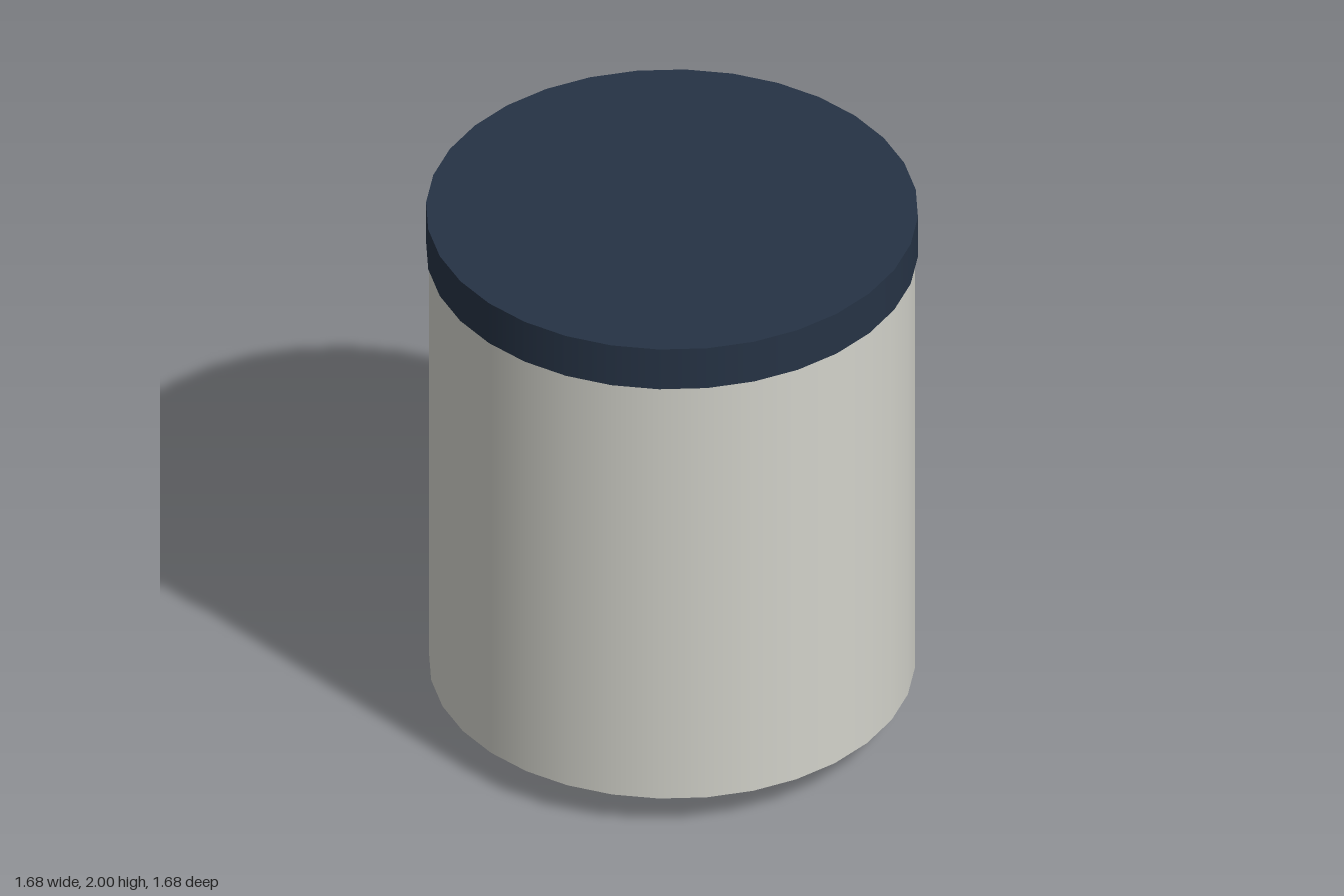
import * as THREE from 'three';

const material = (name, color) => {
  const m = new THREE.MeshStandardMaterial({ color });
  m.name = name;
  return m;
};

export function createModel() {
  const model = new THREE.Group();
  model.name = 'canister';

  const navy = material('navy', 0x263345);
  const paleGrey = material('paleGrey', 0xd2d2ca);
  const slate = material('slate', 0x536164);

  // Adds a closed round part spanning bottom to top
  const addRound = (name, rTop, rBottom, bottom, top, sides, mat) => {
    const geometry = new THREE.CylinderGeometry(rTop, rBottom, top - bottom, sides);
    const mesh = new THREE.Mesh(geometry, mat);
    mesh.name = name;
    mesh.position.y = (bottom + top) / 2;
    model.add(mesh);
  };

  // Flared foot, tall drum and slightly wider lid
  addRound('foot', 0.345, 0.5, 0, 0.132, 12, slate);
  addRound('body', 0.83, 0.83, 0.13, 1.84, 32, paleGrey);
  addRound('lid', 0.84, 0.84, 1.835, 2, 32, navy);

  return model;
}
